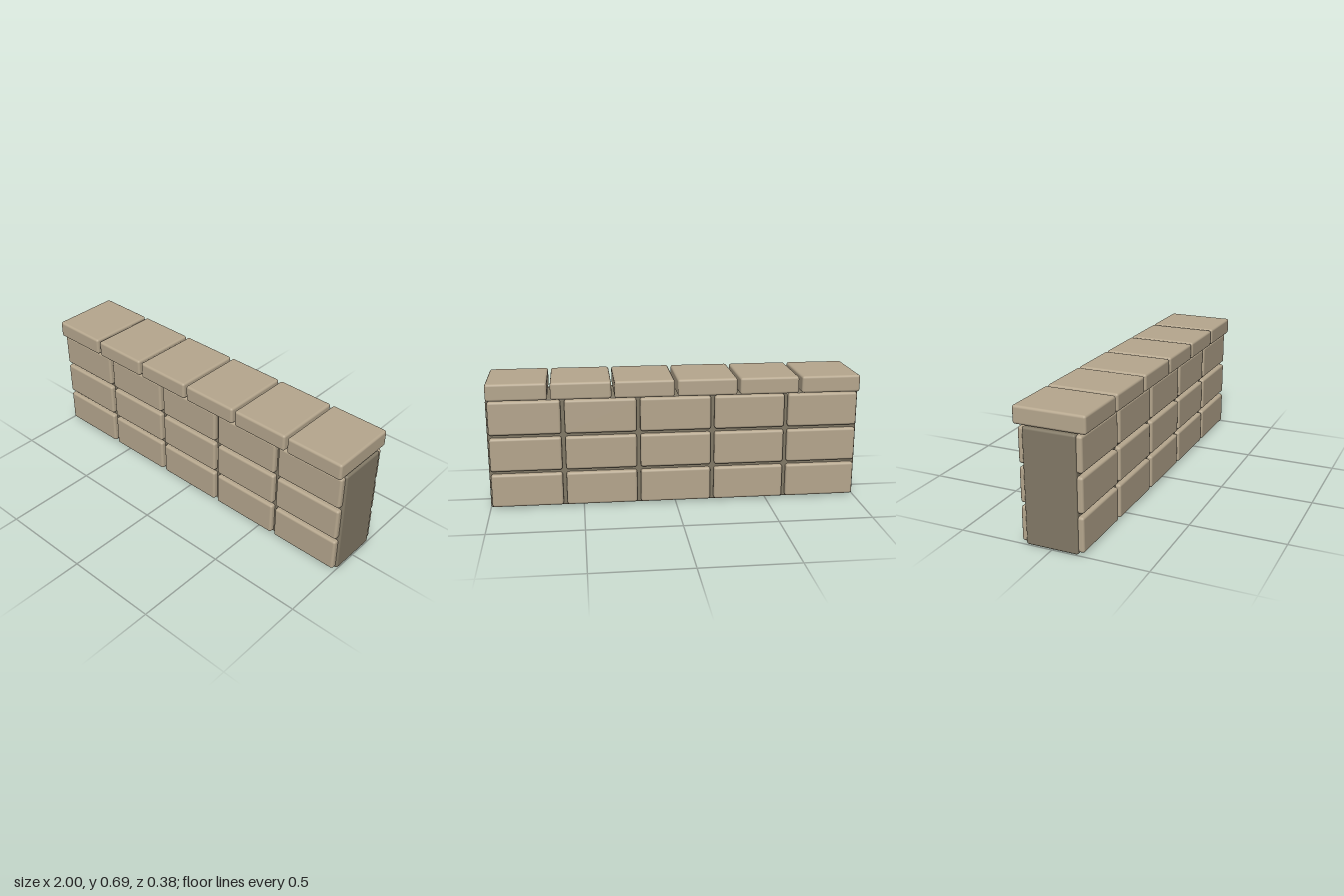
import * as THREE from 'three';
import { RoundedBoxGeometry } from 'three/addons/geometries/RoundedBoxGeometry.js';

export function createModel() {
  const wall = new THREE.Group();
  wall.name = 'stoneWall';

  const stone = new THREE.MeshStandardMaterial({ color: 0xb6a78e });
  stone.name = 'sandstone';
  const mortar = new THREE.MeshStandardMaterial({ color: 0x827966 });
  mortar.name = 'mortar';

  const add = (parent, name, geometry, material, x, y, z) => {
    const mesh = new THREE.Mesh(geometry, material);
    mesh.name = name;
    mesh.position.set(x, y, z);
    parent.add(mesh);
  };

  // Mortar core
  add(wall, 'core', new RoundedBoxGeometry(2, 0.598, 0.276, 2, 0.012), mortar, 0, 0.299, 0);

  // Three courses of five facing blocks on each side
  const blockGeometry = new RoundedBoxGeometry(0.38, 0.182, 0.04, 2, 0.013);
  for (const [side, name] of [[1, 'frontBlocks'], [-1, 'backBlocks']]) {
    const face = new THREE.Group();
    face.name = name;
    for (let row = 0; row < 3; row++) {
      for (let col = 0; col < 5; col++) {
        add(face, 'block', blockGeometry, stone, (col - 2) * 0.4, 0.101 + row * 0.2, side * 0.146);
      }
    }
    wall.add(face);
  }

  // Row of six overhanging coping stones
  const coping = new THREE.Group();
  coping.name = 'coping';
  const capGeometry = new RoundedBoxGeometry(0.318, 0.092, 0.378, 2, 0.013);
  for (let i = 0; i < 6; i++) {
    add(coping, 'copingStone', capGeometry, stone, (i - 2.5) * 0.334, 0.647, 0);
  }
  wall.add(coping);

  return wall;
}
